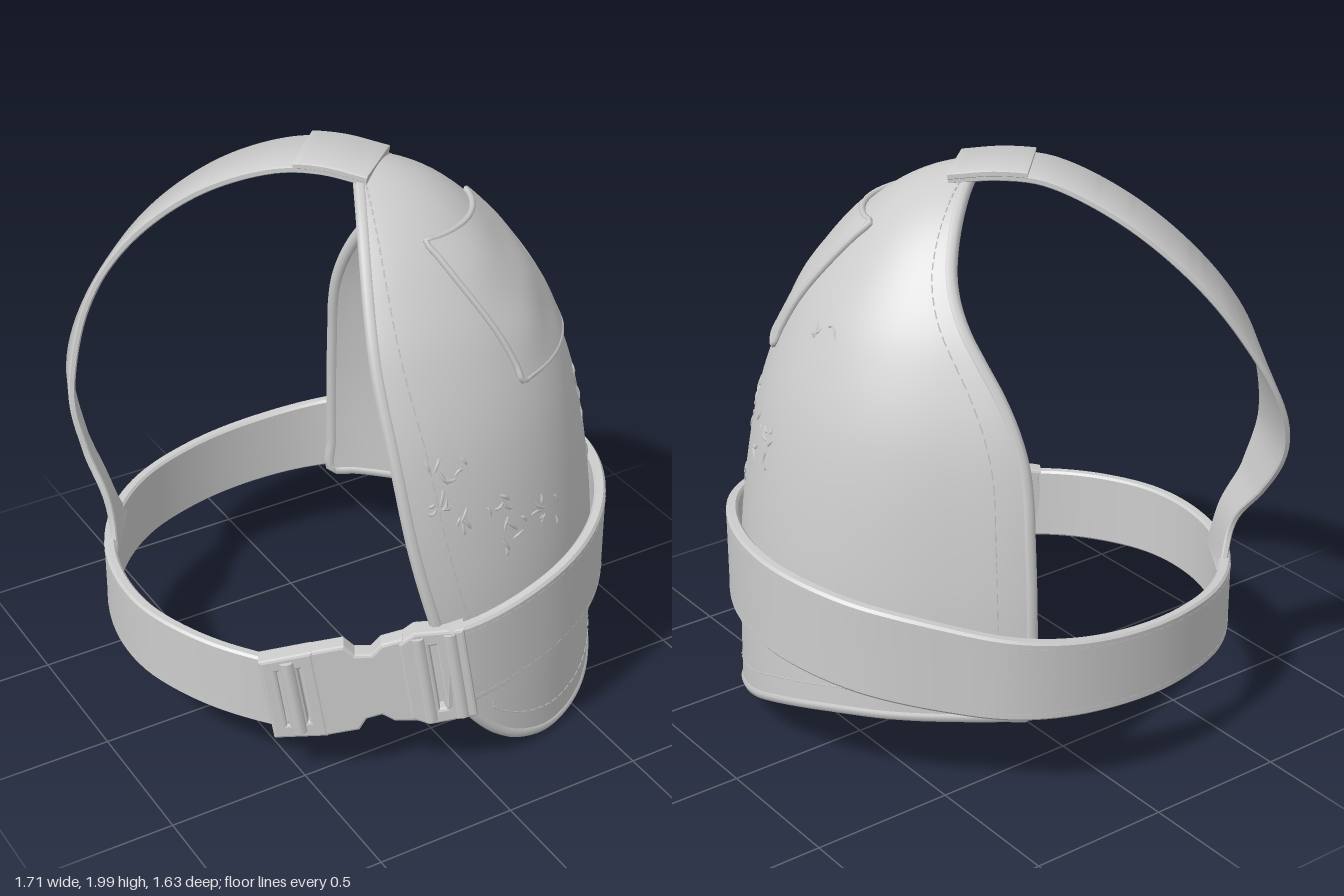
import * as THREE from 'three';
import { mergeGeometries, toCreasedNormals } from 'three/addons/utils/BufferGeometryUtils.js';

const V = (x, y, z) => new THREE.Vector3(x, y, z);
const D = Math.PI / 180;

// Smooth function through [key, value] pairs
function ease(tab) {
  const slope = (i) => {
    const a = tab[Math.max(i - 1, 0)], b = tab[Math.min(i + 1, tab.length - 1)];
    return (b[1] - a[1]) / (b[0] - a[0]);
  };
  return (k) => {
    let i = 0;
    while (i < tab.length - 2 && k > tab[i + 1][0]) i++;
    const h = tab[i + 1][0] - tab[i][0];
    const t = THREE.MathUtils.clamp((k - tab[i][0]) / h, 0, 1), s = 1 - t;
    return tab[i][1] * s * s * (1 + 2 * t) + tab[i + 1][1] * t * t * (3 - 2 * t)
      + slope(i) * h * t * s * s - slope(i + 1) * h * t * t * s;
  };
}

// Grid surface from f(u, v); u runs right and v runs up seen from outside
function grid(f, nu, nv, flip = false) {
  const pos = [], idx = [];
  for (let j = 0; j <= nv; j++)
    for (let i = 0; i <= nu; i++) pos.push(...f(i / nu, j / nv).toArray());
  for (let j = 0; j < nv; j++)
    for (let i = 0; i < nu; i++) {
      const a = j * (nu + 1) + i, b = a + 1, c = a + nu + 1, d = c + 1;
      idx.push(...(flip ? [a, d, b, a, c, d] : [a, b, d, a, d, c]));
    }
  const g = new THREE.BufferGeometry();
  g.setAttribute('position', new THREE.Float32BufferAttribute(pos, 3));
  g.setIndex(idx);
  g.computeVertexNormals();
  return g;
}

// Webbing: frame(t) gives centre p, width direction w, half width h, outward normal n (w x n points along the path)
function band(frame, n, thick) {
  const sec = [[-1, -0.3], [-0.94, -0.5], [0.94, -0.5], [1, -0.3], [1, 0.3], [0.94, 0.5], [-0.94, 0.5], [-1, 0.3]];
  const pos = [], idx = [];
  for (let i = 0; i <= n; i++) {
    const { p, w, h, n: o } = frame(i / n);
    for (const [a, b] of sec) pos.push(...p.clone().addScaledVector(w, a * h).addScaledVector(o, b * thick).toArray());
  }
  for (let i = 0; i < n; i++)
    for (let k = 0; k < 8; k++) {
      const a = i * 8 + k, b = i * 8 + (k + 1) % 8;
      idx.push(a, b, b + 8, a, b + 8, a + 8);
    }
  for (let k = 1; k < 7; k++) idx.push(0, k + 1, k, n * 8, n * 8 + k, n * 8 + k + 1);
  const g = new THREE.BufferGeometry();
  g.setAttribute('position', new THREE.Float32BufferAttribute(pos, 3));
  g.setIndex(idx);
  return toCreasedNormals(g, 0.6);
}

// Dashed seam along f(t)
const stitches = (f, n) => mergeGeometries(Array.from({ length: n }, (_, i) =>
  new THREE.TubeGeometry(new THREE.LineCurve3(f(i / n), f((i + 0.7) / n)), 1, 0.003, 4)));

// Dome: squared radius by height, and an out-of-round factor by angle
const sq = ease([[0, 0.66], [0.45, 0.645], [0.8, 0.61], [1.2, 0.508], [1.5, 0.355], [1.7, 0.212], [1.85, 0.096], [1.965, 0]]);
const oval = ease([[-30, 0.92], [0, 0.93], [45, 1.01], [90, 1], [135, 0.915], [160, 0.945]]);
function dome(deg, y, off = 0) {
  const R = Math.sqrt(Math.max(sq(y), 0)), s = (sq(y + 0.005) - sq(y - 0.005)) / 0.01;
  const l = Math.hypot(2 * R, s) || 1, r = R * oval(deg) + off * 2 * R / l;
  return V(r * Math.sin(deg * D), y - off * s / l, r * Math.cos(deg * D));
}
// Shell outline: front edge, back edge and lower edge
const front = ease([[0, -1], [0.3, -2], [0.6, -9], [0.9, -15], [1.25, -20], [1.55, -24.5], [1.965, -27]]);
const back = ease([[0, 157], [0.95, 157], [1.2, 156], [1.4, 150], [1.63, 136], [1.75, 131], [1.965, 128]]);
const lower = ease([[0, 0.3], [0.05, 0.15], [0.1, 0.078], [0.145, 0.043], [0.185, 0.028], [0.25, 0.037], [0.323, 0.062],
  [0.367, 0.09], [0.48, 0.165], [0.576, 0.243], [0.67, 0.295], [0.766, 0.315], [1, 0.335]]);
function shell(u, v, off = 0) {
  const y0 = lower(u), y = y0 + (1.965 - y0) * Math.sin(v * Math.PI / 2);
  return dome(THREE.MathUtils.lerp(front(y), back(y), u), y, off);
}

// Belt ring
const beltY = ease([[-8, 0.475], [0, 0.485], [30, 0.55], [60, 0.605], [90, 0.597], [120, 0.55], [150, 0.49], [180, 0.45], [225, 0.42], [270, 0.405], [300, 0.385], [312, 0.37]]);
const beltR = ease([[-8, 0.765], [0, 0.77], [15, 0.785], [30, 0.81], [45, 0.83], [60, 0.835], [75, 0.833], [90, 0.822], [110, 0.79], [135, 0.755],
  [155, 0.773], [180, 0.786], [200, 0.815], [215, 0.848], [225, 0.862], [235, 0.868], [250, 0.862], [270, 0.838], [285, 0.8], [300, 0.765], [312, 0.74]]);
const beltH = ease([[-8, 0.16], [120, 0.163], [180, 0.135], [312, 0.135]]);
function belt(t) {
  const a = -8 + 320 * t, n = V(Math.sin(a * D), 0, Math.cos(a * D));
  return { p: n.clone().multiplyScalar(beltR(a)).setY(beltY(a)), w: V(0, 1, 0), h: beltH(a), n };
}

// Shoulder strap
const strapPath = new THREE.CatmullRomCurve3([
  V(0.05, 1.945, 0.04), V(-0.06, 1.965, -0.08), V(-0.17, 1.95, -0.19), V(-0.35, 1.82, -0.4), V(-0.54, 1.58, -0.59),
  V(-0.69, 1.3, -0.67), V(-0.77, 1.05, -0.65), V(-0.765, 0.85, -0.575), V(-0.73, 0.68, -0.49), V(-0.7, 0.5, -0.47)]);
const strapDir = ease([[0, 45], [0.5, 48], [0.7, 66], [0.85, 70], [1, 57]]);
const strapH = ease([[0, 0.125], [0.5, 0.13], [0.75, 0.12], [0.88, 0.075], [0.94, 0.08], [1, 0.13]]);
function strap(t) {
  const T = strapPath.getTangentAt(t), a = strapDir(t) * D;
  const w = V(-Math.cos(a), 0, Math.sin(a));
  w.addScaledVector(T, -w.dot(T)).normalize();
  return { p: strapPath.getPointAt(t), w, h: strapH(t), n: T.clone().cross(w) };
}

// Plate outline with optional rectangular slots [x, y, w, h]
function plate(pts, slots, depth) {
  const s = new THREE.Shape(pts.map(([x, y]) => new THREE.Vector2(x, y)));
  for (const [x, y, w, h] of slots) {
    const p = new THREE.Path();
    p.moveTo(x - w / 2, y - h / 2).lineTo(x - w / 2, y + h / 2).lineTo(x + w / 2, y + h / 2).lineTo(x + w / 2, y - h / 2).closePath();
    s.holes.push(p);
  }
  return new THREE.ExtrudeGeometry(s, { depth, bevelEnabled: true, bevelSize: 0.01, bevelThickness: 0.01, bevelSegments: 2 })
    .translate(0, 0, -depth / 2);
}

export function createModel() {
  const group = new THREE.Group();
  const leather = new THREE.MeshStandardMaterial({ color: 0xcccccc });
  const add = (name, geo, parent = group) => {
    const m = new THREE.Mesh(geo, leather);
    m.name = name;
    parent.add(m);
  };

  // Shoulder shell with inner lining and rolled edge
  add('shellOuter', grid((u, v) => shell(u, v), 64, 48));
  add('shellLining', grid((u, v) => shell(u, v, -0.036), 64, 48, true));
  const edge = [];
  for (let i = 0; i < 20; i++) edge.push(shell(0, i / 20, -0.018));
  for (let i = 20; i > 0; i--) edge.push(shell(1, i / 20, -0.018));
  for (let i = 24; i > 0; i--) edge.push(shell(i / 24, 0, -0.018));
  add('rolledEdge', new THREE.TubeGeometry(new THREE.CatmullRomCurve3(edge, true), 220, 0.024, 8, true));
  add('frontEdgeStitching', stitches((t) => shell(0.05, 0.03 + 0.87 * t, 0), 40));
  add('backEdgeStitching', stitches((t) => shell(0.95, 0.03 + 0.87 * t, 0), 40));
  add('lowerEdgeStitching', stitches((t) => shell(0.05 + 0.9 * t, 0.03, 0), 50));

  // Sewn-on patch
  const patch = (u, v, off) => dome(THREE.MathUtils.lerp(THREE.MathUtils.lerp(24, 62, u), THREE.MathUtils.lerp(8, 77, u), v ** 1.6),
    1.37 + 0.44 * v, off);
  add('patch', grid((u, v) => patch(u, v, 0.016 + 0.006 * Math.sin(u * 7) * Math.sin(v * 6) ** 2), 16, 16));
  const hem = [];
  for (const [u, v, du, dv] of [[0, 0, 1, 0], [1, 0, 0, 1], [1, 1, -1, 0], [0, 1, 0, -1]])
    for (let i = 0; i < 10; i++) hem.push(patch(u + du * i / 10, v + dv * i / 10, 0.008));
  add('patchHem', new THREE.TubeGeometry(new THREE.CatmullRomCurve3(hem, true), 100, 0.011, 6, true));

  // Scuffs and tears: [angle, height, spread, height spread, count]
  let seed = 7;
  const rnd = () => (seed = (seed * 16807) % 2147483647) / 2147483647 - 0.5;
  const scuffs = [];
  for (const [a, y, sa, sy, n] of [[-5, 1.1, 12, 0.24, 12], [5, 0.98, 16, 0.14, 8], [20, 0.89, 20, 0.14, 12],
    [56, 1.13, 5, 0.18, 9], [73, 1.1, 12, 0.16, 10], [59, 0.88, 5, 0.05, 3], [90, 1.52, 12, 0.06, 5]])
    for (let i = 0; i < n; i++) {
      const a0 = a + rnd() * sa, y0 = y + rnd() * sy, da = 1 + rnd() * 2, dy = rnd() * 0.06;
      const pts = [-1, 0, 1].map((k) => dome(a0 + k * da, y0 + k * dy + rnd() * 0.02, k ? -0.004 : 0));
      scuffs.push(new THREE.TubeGeometry(new THREE.CatmullRomCurve3(pts), 6, 0.006, 5));
    }
  add('scuffs', mergeGeometries(scuffs));

  // Chest belt
  add('belt', band(belt, 120, 0.04));
  for (const side of [-1, 1])
    add(side < 0 ? 'beltLowerStitching' : 'beltUpperStitching', stitches((t) => {
      const f = belt(t * 0.99);
      return f.p.addScaledVector(f.n, 0.0185).setY(f.p.y + side * (f.h - 0.025));
    }, 90));

  // Shoulder strap and its sewn tab on top of the shell
  add('shoulderStrap', band(strap, 70, 0.024));
  add('strapTab', band((t) => {
    const f = strap(t * 0.115);
    f.p.addScaledVector(f.n, 0.015);
    f.h = 0.13;
    return f;
  }, 10, 0.024));

  // Side-release buckle
  const buckle = new THREE.Group();
  buckle.name = 'buckle';
  const X = V(0.85, 0.15, 0.47).normalize(), Z = V(-0.48, 0, 0.87).normalize();
  const Y = Z.clone().cross(X).normalize();
  buckle.quaternion.setFromRotationMatrix(new THREE.Matrix4().makeBasis(X, Y, X.clone().cross(Y)));
  buckle.position.set(-0.32, 0.41, 0.612);
  group.add(buckle);
  add('ladderFrame', plate([[-0.33, -0.15], [-0.17, -0.17], [-0.17, 0.16], [-0.33, 0.15]],
    [[-0.285, 0, 0.025, 0.24], [-0.215, 0, 0.025, 0.24]], 0.05), buckle);
  add('buckleBody', plate([[-0.17, -0.17], [-0.06, -0.165], [-0.03, -0.125], [0.03, -0.115], [0.07, -0.15], [0.13, -0.16],
    [0.13, 0.16], [0.07, 0.15], [0.03, 0.115], [-0.03, 0.125], [-0.06, 0.165], [-0.17, 0.16]], [], 0.045), buckle);
  add('socketFrame', plate([[0.13, -0.15], [0.18, -0.18], [0.33, -0.17], [0.33, 0.17], [0.18, 0.18], [0.13, 0.15]],
    [[0.23, 0, 0.04, 0.28]], 0.055), buckle);
  for (const [x, h] of [[-0.25, 0.29], [0.185, 0.34], [0.29, 0.34]])
    add('buckleBar', new THREE.CylinderGeometry(0.026, 0.026, h, 10).translate(x, 0, 0.025), buckle);
  // Webbing looped through the frames
  add('socketWebbing', new THREE.BoxGeometry(0.16, 0.27, 0.03).translate(0.27, 0, -0.02), buckle);
  add('ladderWebbing', new THREE.BoxGeometry(0.14, 0.23, 0.03).translate(-0.28, 0, -0.02), buckle);
  return group;
}
